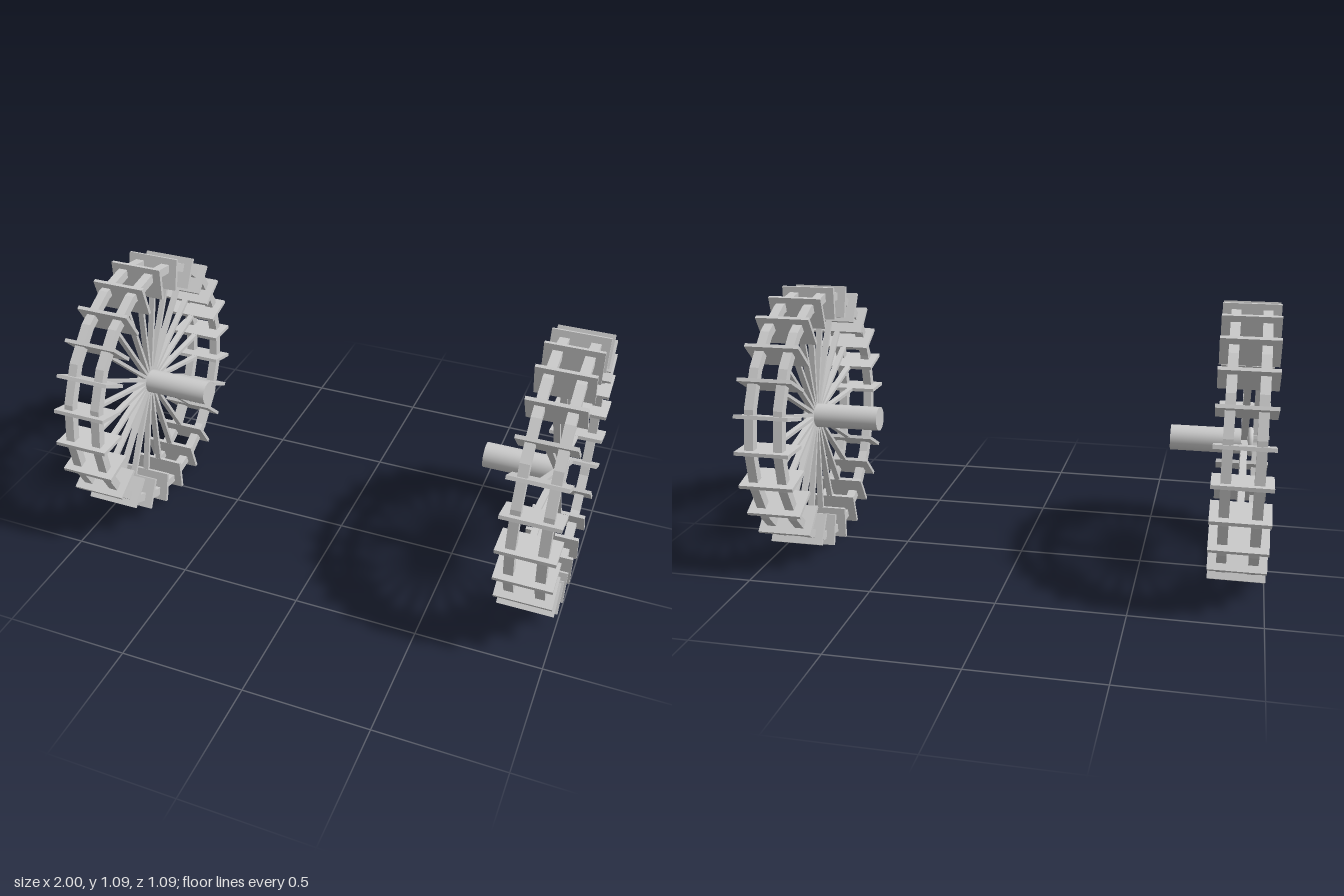
import * as THREE from 'three';

const material = new THREE.MeshStandardMaterial({ color: 0xcccccc });
const flat = new THREE.MeshStandardMaterial({ color: 0xcccccc, flatShading: true });
const RADIUS = 0.546;
const SPOKES = 24;
const RIM_SIDES = 20;

function add(parent, name, geometry, mat = material) {
  const mesh = new THREE.Mesh(geometry, mat);
  mesh.name = name;
  parent.add(mesh);
  return mesh;
}

// Flat-sided ring with a rectangular section, its axis along x
function rimGeometry(outer, inner, width) {
  const ring = (r, P) => {
    const path = new P();
    for (let i = 0; i < RIM_SIDES; i++) {
      const a = (i / RIM_SIDES) * Math.PI * 2;
      if (i) path.lineTo(r * Math.cos(a), r * Math.sin(a));
      else path.moveTo(r, 0);
    }
    path.closePath();
    return path;
  };
  const shape = ring(outer, THREE.Shape);
  shape.holes.push(ring(inner, THREE.Path));
  return new THREE.ExtrudeGeometry(shape, { depth: width, bevelEnabled: false })
    .translate(0, 0, -width / 2)
    .rotateY(Math.PI / 2);
}

// Solid cylinder along x between two positions
function rod(radius, x0, x1) {
  return new THREE.CylinderGeometry(radius, radius, Math.abs(x1 - x0), 32)
    .rotateZ(Math.PI / 2)
    .translate((x0 + x1) / 2, 0, 0);
}

function createWheel(side, name) {
  const wheel = new THREE.Group();
  wheel.name = name;

  // Twin rims
  const rim = rimGeometry(0.524, 0.489, 0.037);
  for (const x of [0.832, 0.949]) {
    add(wheel, 'rim', rim, flat).position.x = side * x;
  }

  // Radial spokes, each ending in a paddle board
  const spoke = new THREE.BoxGeometry(0.024, 0.42, 0.0135).translate(0, 0.21, 0);
  const paddle = new THREE.BoxGeometry(0.22, 0.13, 0.0145).translate(0, RADIUS - 0.065, 0);
  for (let i = 0; i < SPOKES; i++) {
    const arm = new THREE.Group();
    arm.name = 'paddleArm';
    arm.position.x = side * 0.89;
    arm.rotation.x = (i / SPOKES) * Math.PI * 2;
    add(arm, 'spoke', spoke);
    add(arm, 'paddle', paddle);
    wheel.add(arm);
  }

  // Axle stub towards the middle and a rounded hub cap outside
  add(wheel, 'axle', rod(0.05, side * 0.605, side * 0.905));
  add(wheel, 'hubCap', rod(0.047, side * 0.9, side * 0.925));
  const collar = new THREE.TorusGeometry(0.047, 0.011, 10, 32).rotateY(Math.PI / 2);
  add(wheel, 'hubCollar', collar).position.x = side * 0.914;

  wheel.position.y = RADIUS;
  return wheel;
}

export function createModel() {
  const model = new THREE.Group();
  model.name = 'paddleWheels';
  model.add(createWheel(1, 'leftWheel'), createWheel(-1, 'rightWheel'));
  return model;
}
